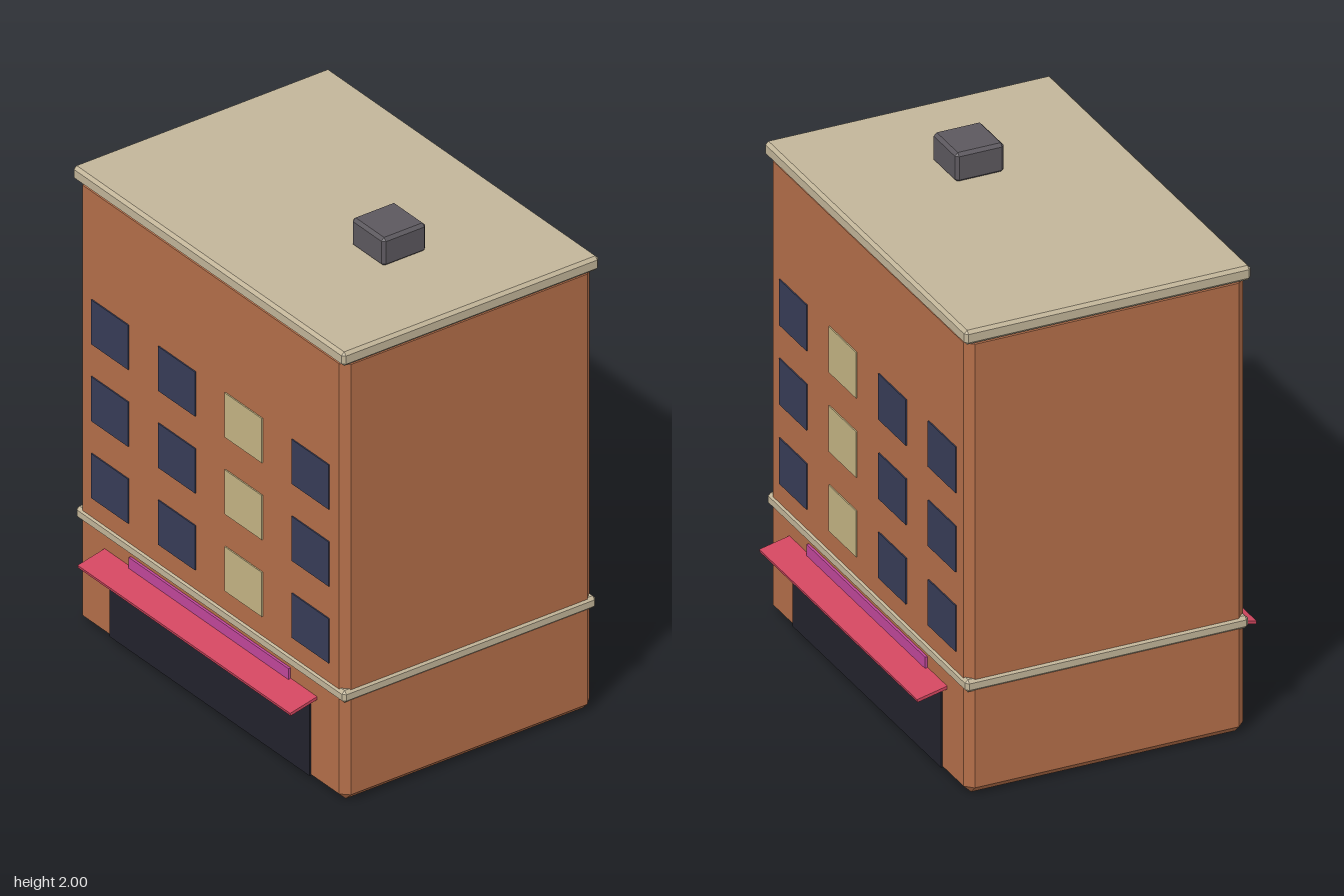
import * as THREE from 'three';
import { ConvexGeometry } from 'three/addons/geometries/ConvexGeometry.js';

const paint = (name, color) => {
  const m = new THREE.MeshStandardMaterial({ color });
  m.name = name;
  return m;
};

// Box with every edge cut by a flat chamfer c
function chamferBox(w, h, d, c) {
  const pts = [];
  for (const x of [-1, 1]) for (const y of [-1, 1]) for (const z of [-1, 1])
    for (let k = 0; k < 3; k++)
      pts.push(new THREE.Vector3(
        x * (w / 2 - (k === 0 ? 0 : c)),
        y * (h / 2 - (k === 1 ? 0 : c)),
        z * (d / 2 - (k === 2 ? 0 : c))));
  return new ConvexGeometry(pts);
}

export function createModel() {
  const brick = paint('brick', 0xb36e49);
  const stone = paint('stone', 0xc2b599);
  const darkGlass = paint('dark glass', 0x373c57);
  const litGlass = paint('lit glass', 0xc4b383);
  const shopGlass = paint('shop glass', 0x22222c);
  const awningRed = paint('awning red', 0xd0465f);
  const signPink = paint('sign pink', 0xc0479a);
  const metal = paint('metal', 0x5c585e);

  const group = new THREE.Group();
  const add = (parent, name, geometry, material, x, y, z) => {
    const mesh = new THREE.Mesh(geometry, material);
    mesh.name = name;
    mesh.position.set(x, y, z);
    parent.add(mesh);
    return mesh;
  };

  // Main block, ledges and roof unit
  add(group, 'walls', chamferBox(1.594, 1.85, 1.11, 0.03), brick, 0, 0.925, 0);
  add(group, 'floorBand', chamferBox(1.61, 0.05, 1.124, 0.012), stone, 0, 0.446, 0);
  add(group, 'cornice', chamferBox(1.624, 0.058, 1.138, 0.012), stone, 0, 1.857, 0);
  add(group, 'roofUnit', chamferBox(0.194, 0.118, 0.194, 0.012), metal, 0.317, 1.941, 0);

  // Same facade on the front (side = 1) and back (side = -1)
  const windowShape = new THREE.BoxGeometry(0.222, 0.185, 0.009);
  for (const side of [1, -1]) {
    const facade = new THREE.Group();
    facade.name = side > 0 ? 'frontFacade' : 'backFacade';
    for (const y of [0.64, 0.96, 1.28])
      for (const x of [-0.6, -0.2, 0.2, 0.6])
        add(facade, 'window', windowShape, x === 0.2 ? litGlass : darkGlass,
          x, y, side * 0.5555);
    add(facade, 'shopWindow', new THREE.BoxGeometry(1.196, 0.325, 0.009), shopGlass,
      0, 0.188, side * 0.5565);
    add(facade, 'signBoard', new THREE.BoxGeometry(0.956, 0.055, 0.02), signPink,
      0, 0.387, side * 0.555);
    const awning = add(facade, 'awning', new THREE.BoxGeometry(1.272, 0.012, 0.13), awningRed,
      0, 0.353, side * 0.61);
    awning.rotation.x = side * 0.22;
    group.add(facade);
  }
  return group;
}
